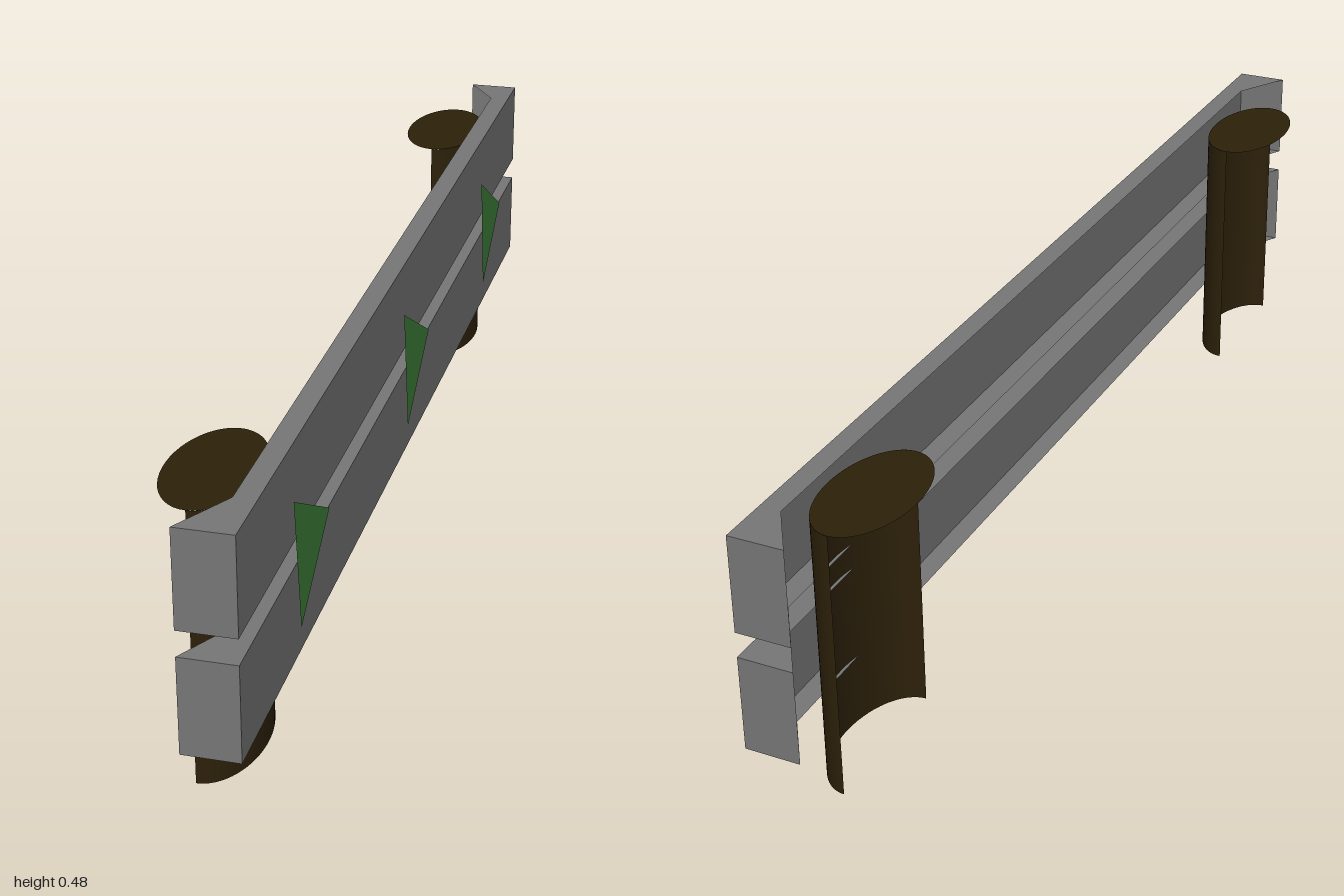
import * as THREE from 'three';

const POST_HEIGHT = 0.452;
const RAIL_HEIGHT = 0.16;
const FRONT_X = 0.0795; // outer face of the rails
const BACK_X = -0.012; // free edge of the end plates

export function createModel() {
  const model = new THREE.Group();
  model.name = 'guardRail';

  const railMaterial = new THREE.MeshStandardMaterial({ color: 0x777777, flatShading: true, side: THREE.DoubleSide });
  const postMaterial = new THREE.MeshStandardMaterial({ color: 0x2c2009, side: THREE.DoubleSide });
  const markerMaterial = new THREE.MeshStandardMaterial({ color: 0x3f7f3a, side: THREE.DoubleSide });

  const addPart = (parent, name, geometry, material, x = 0, y = 0, z = 0) => {
    const mesh = new THREE.Mesh(geometry, material);
    mesh.name = name;
    mesh.position.set(x, y, z);
    parent.add(mesh);
  };

  // Rails: channels open at the back, with flanges that widen to meet the end plates
  const plan = new THREE.Shape([
    [FRONT_X, -1], [FRONT_X, 1], [BACK_X, 1], [0.044, 0.9], [0.044, -0.915], [BACK_X, -1],
  ].map(([x, z]) => new THREE.Vector2(x, -z)));
  const flangeGeometry = new THREE.ShapeGeometry(plan).rotateX(-Math.PI / 2);
  const webGeometry = new THREE.PlaneGeometry(2, RAIL_HEIGHT).rotateY(Math.PI / 2);
  const endGeometry = new THREE.PlaneGeometry(FRONT_X - BACK_X, RAIL_HEIGHT);
  for (const [name, y] of [['lowerRail', 0.198], ['upperRail', 0.4]]) {
    const rail = new THREE.Group();
    rail.name = name;
    rail.position.y = y;
    addPart(rail, 'railFace', webGeometry, railMaterial, FRONT_X);
    for (const side of [-1, 1]) {
      addPart(rail, 'railFlange', flangeGeometry, railMaterial, 0, side * RAIL_HEIGHT / 2);
      addPart(rail, 'railEnd', endGeometry, railMaterial, (FRONT_X + BACK_X) / 2, 0, side);
    }
    model.add(rail);
  }

  // Posts: a half-round elliptical shell under a full elliptical cap
  const wallGeometry = new THREE.CylinderGeometry(1, 1, POST_HEIGHT, 32, 1, true, 0, Math.PI);
  wallGeometry.translate(0, POST_HEIGHT / 2, 0);
  const capGeometry = new THREE.CircleGeometry(1, 48);
  capGeometry.rotateX(-Math.PI / 2).translate(0, POST_HEIGHT, 0);
  for (const side of [-1, 1]) {
    const post = new THREE.Group();
    post.name = side < 0 ? 'backPost' : 'frontPost';
    addPart(post, 'postWall', wallGeometry, postMaterial);
    addPart(post, 'postCap', capGeometry, postMaterial);
    post.scale.set(0.073, 1, 0.13);
    post.position.set(-0.0235, 0, side * 0.775 - 0.002);
    model.add(post);
  }

  // Markers: thin, slightly tilted triangles pointing along the rails
  const markerGeometry = new THREE.BufferGeometry().setFromPoints([
    new THREE.Vector3(0.0925, 0.3, -0.177),
    new THREE.Vector3(0.094, 0.187, -0.01),
    new THREE.Vector3(0.088, 0.402, 0),
  ]);
  markerGeometry.computeVertexNormals();
  for (const z of [0.755, 0.065, -0.605]) {
    addPart(model, 'arrowMarker', markerGeometry, markerMaterial, 0, 0, z);
  }

  return model;
}
